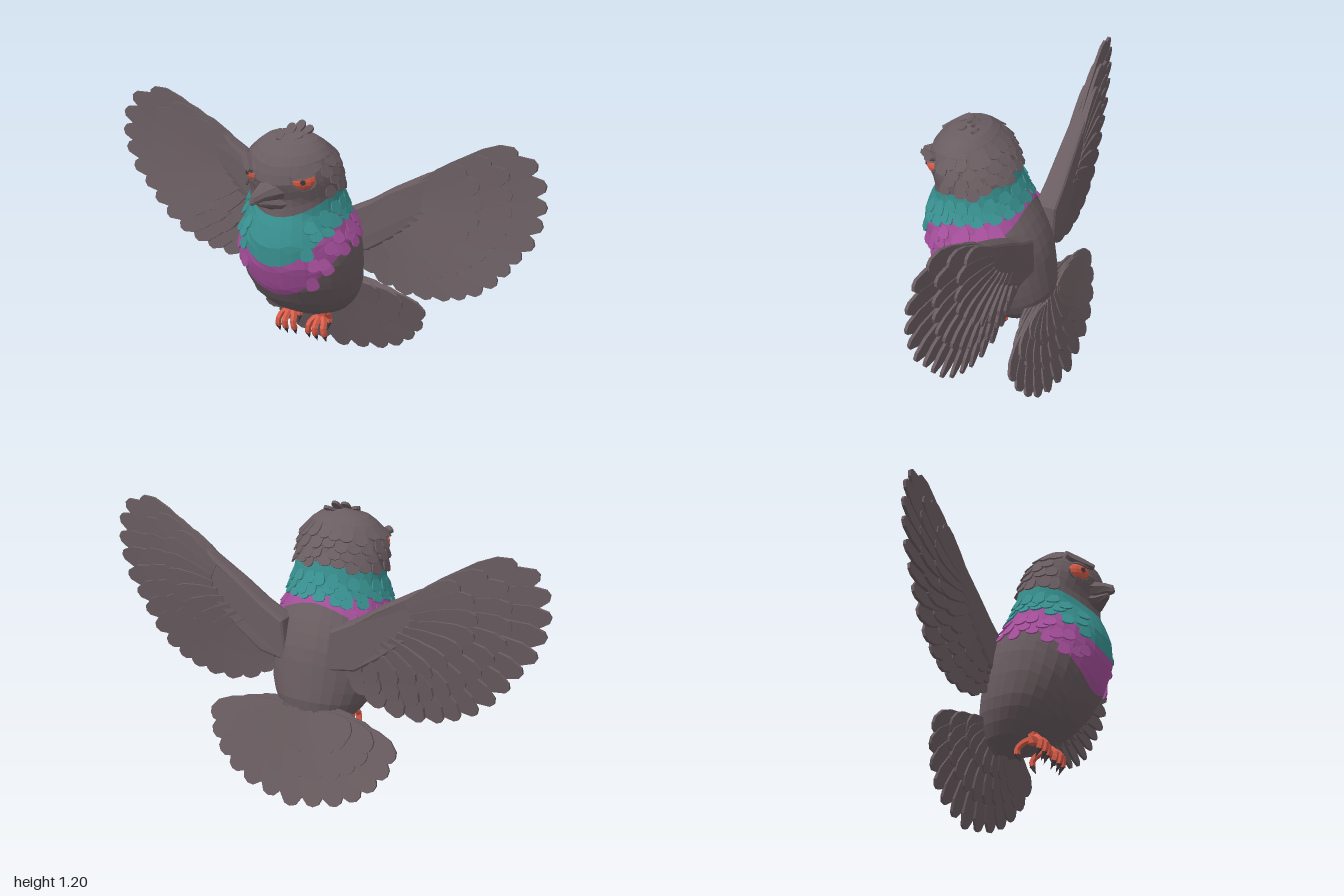
import * as THREE from 'three';
import { mergeGeometries } from 'three/addons/utils/BufferGeometryUtils.js';
import { ParametricGeometry } from 'three/addons/geometries/ParametricGeometry.js';

const material = (name, color) => Object.assign(new THREE.MeshStandardMaterial({ color, flatShading: true }), { name });
const V = (x, y, z) => new THREE.Vector3(x, y, z);
const lerp = THREE.MathUtils.lerp;

// body profile: height, front z, back z, half width
const PROFILE = [
  [0.295, -0.15, -0.2, 0.03], [0.31, -0.05, -0.22, 0.09], [0.34, 0.04, -0.235, 0.14], [0.4, 0.147, -0.255, 0.195],
  [0.46, 0.21, -0.262, 0.225], [0.55, 0.27, -0.25, 0.245], [0.65, 0.308, -0.235, 0.25], [0.75, 0.31, -0.195, 0.238],
  [0.82, 0.285, -0.15, 0.215], [0.87, 0.262, -0.115, 0.2], [0.93, 0.26, -0.1, 0.195], [1.0, 0.288, -0.085, 0.192],
  [1.06, 0.275, -0.055, 0.184], [1.1, 0.252, -0.025, 0.168], [1.14, 0.21, 0.01, 0.13], [1.165, 0.165, 0.05, 0.085],
  [1.178, 0.11, 0.1, 0.005],
];

function bodyPoint(y, a, target = V()) {
  let i = 0;
  while (i < PROFILE.length - 2 && y > PROFILE[i + 1][0]) i++;
  const p = PROFILE[i], q = PROFILE[i + 1];
  const t = THREE.MathUtils.clamp((y - p[0]) / (q[0] - p[0]), 0, 1);
  const [zf, zb, w] = [1, 2, 3].map((k) => lerp(p[k], q[k], t));
  return target.set(w * Math.sin(a), y, (zf + zb) / 2 + (zf - zb) / 2 * Math.cos(a));
}

// colour edge running from the breast, past the side, to the nape
const edge = (front, side, back) => (a) => {
  const c = Math.cos(a);
  return c > 0 ? lerp(side, front, Math.pow(c, 1.7)) : lerp(side, back, c * c);
};
const EDGES = [() => 0.295, edge(0.51, 0.73, 0.84), edge(0.66, 0.86, 0.87), edge(0.86, 0.95, 1.0), () => 1.178];

// one unit-long blade, reused for every feather
const leaf = new THREE.Shape();
leaf.moveTo(-0.22, 0);
[[0.22, 0], [0.42, 0.35], [0.5, 0.7], [0.43, 0.87], [0.2, 0.98], [0, 1], [-0.2, 0.98], [-0.43, 0.87], [-0.5, 0.7], [-0.42, 0.35]]
  .forEach(([x, y]) => leaf.lineTo(x, y));
const BLADE = new THREE.ExtrudeGeometry(leaf, { depth: 1, bevelEnabled: false }).translate(0, 0, -0.5);

function feather(root, tip, width, thick, facing) {
  const dir = tip.clone().sub(root), length = dir.length();
  dir.normalize();
  const side = dir.clone().cross(facing).normalize();
  const normal = side.clone().cross(dir);
  const m = new THREE.Matrix4().makeBasis(side, dir, normal).setPosition(root);
  return BLADE.clone().scale(width, length, thick).applyMatrix4(m);
}

// closed skin through elliptical rings [x, y, z, rx, ry] along z
function rings(list, sides) {
  return new ParametricGeometry((u, v, t) => {
    const f = v * (list.length - 1), i = Math.min(Math.floor(f), list.length - 2);
    const r = list[i].map((n, k) => lerp(n, list[i + 1][k], f - i));
    const a = u * Math.PI * 2;
    t.set(r[0] + r[3] * Math.cos(a), r[1] + r[4] * Math.sin(a), r[2]);
  }, sides, list.length - 1);
}

const hash = (n) => { const s = Math.sin(n * 127.1) * 43758.5453; return s - Math.floor(s); };
const curve = (pts) => new THREE.CatmullRomCurve3(pts.map(([x, y]) => V(x, y, 0)));

const WING_TIPS = curve([[0.855, 1.155], [0.96, 1.11], [0.995, 1.0], [0.99, 0.9], [0.955, 0.79], [0.89, 0.7],
  [0.83, 0.61], [0.75, 0.53], [0.66, 0.48], [0.57, 0.45], [0.46, 0.435], [0.34, 0.45], [0.25, 0.5]]);
const WING_ROOTS = curve([[0.44, 0.93], [0.46, 0.87], [0.4, 0.8], [0.31, 0.74], [0.19, 0.68]]);
const TAIL_TIPS = curve([[-0.44, 0.3], [-0.41, 0.21], [-0.34, 0.13], [-0.25, 0.07], [-0.13, 0.035], [0, 0.01],
  [0.13, 0.035], [0.25, 0.07], [0.34, 0.13], [0.41, 0.21], [0.44, 0.3]]);
const wingZ = (x) => -0.165 + 0.06 * Math.pow(Math.max(0, Math.abs(x) - 0.3) / 0.7, 2);
const tailZ = (y) => -0.352 + 0.31 * y;

export function createModel() {
  const model = new THREE.Group();
  const grey = material('plumage grey', 0x6a5d61), teal = material('neck teal', 0x38908f);
  const purple = material('breast purple', 0xa54f9b), red = material('coral red', 0xd95c49);
  const dark = material('claw dark', 0x433b3e);
  const add = (name, geometry, mat, parent = model) => {
    const mesh = new THREE.Mesh(geometry, mat);
    mesh.name = name;
    parent.add(mesh);
    return mesh;
  };

  // body in four colour bands, each with small ruffled feathers
  const bands = [['belly', grey, 10, 0], ['breastBand', purple, 5, 3], ['neckBand', teal, 5, 3], ['head', grey, 9, 4]];
  bands.forEach(([name, mat, rows, ruffles], b) => {
    const at = (a, v) => lerp(EDGES[b](a), EDGES[b + 1](a), v);
    add(name, new ParametricGeometry((u, v, t) => bodyPoint(at(u * Math.PI * 2, v), u * Math.PI * 2, t), 32, rows), mat);
    const flakes = [];
    for (let r = 0; r < ruffles; r++) for (let i = 0; i < 20; i++) {
      const id = b * 300 + r * 40 + i;
      const a = (i + (r % 2) / 2 + hash(id) * 0.4) / 20 * Math.PI * 2;
      if (Math.cos(a) > (b === 3 ? 0.35 : 0.85) || (b === 1 && Math.cos(a) < -0.7)) continue;
      const y = at(a, 0.2 + r / ruffles * 0.75);
      const out = V(Math.sin(a), 0.15, Math.cos(a));
      const root = bodyPoint(y, a).addScaledVector(out, -0.004);
      const tip = bodyPoint(y - 0.045 - hash(id + 9) * 0.02, a).addScaledVector(out, 0.011);
      flakes.push(feather(root, tip, 0.055, 0.006, out));
    }
    if (flakes.length) add(name + 'Ruffles', mergeGeometries(flakes), mat);
  });

  // crest tuft
  add('crest', mergeGeometries([[0.0, 1.2, 0.1], [0.03, 1.208, 0.07], [0.065, 1.185, 0.06], [-0.04, 1.178, 0.13], [0.05, 1.17, 0.12]]
    .map(([x, y, z]) => feather(V(x * 0.4 - 0.01, 1.15, z + 0.05), V(x, y, z), 0.036, 0.012, V(0.3, 1, 0.3)))), grey);

  // beak, turned slightly to one side
  add('upperBeak', rings([[0, 0.968, 0.2, 0.1, 0.05], [-0.012, 0.97, 0.28, 0.056, 0.04], [-0.03, 0.962, 0.325, 0.03, 0.026],
    [-0.045, 0.947, 0.355, 0.014, 0.02], [-0.05, 0.935, 0.365, 0, 0]], 8), grey);
  add('lowerBeak', rings([[0, 0.915, 0.2, 0.09, 0.04], [-0.01, 0.918, 0.275, 0.05, 0.026], [-0.03, 0.93, 0.325, 0.015, 0.012],
    [-0.035, 0.932, 0.335, 0, 0]], 8), grey);

  for (const s of [-1, 1]) {
    const side = s > 0 ? 'left' : 'right';

    // eye with heavy lid, lower lid and brow
    const eye = new THREE.Group();
    eye.name = side + 'Eye';
    eye.position.set(s * 0.115, 1.022, 0.228);
    eye.rotation.y = s * 0.62;
    model.add(eye);
    add('iris', new THREE.SphereGeometry(1, 12, 8).scale(0.05, 0.038, 0.03), red, eye);
    add('pupil', new THREE.CylinderGeometry(0.011, 0.011, 0.006, 8).rotateX(Math.PI / 2), dark, eye).position.set(-s * 0.006, 0, 0.029);
    const lid = new THREE.SphereGeometry(1, 12, 4, 0, Math.PI * 2, 0, Math.PI * 0.38).scale(0.06, 0.045, 0.042);
    add('upperLid', lid, grey, eye).rotation.z = s * 0.2;
    add('lowerLid', new THREE.TorusGeometry(0.05, 0.008, 5, 10, Math.PI).scale(1, 0.8, 1).rotateZ(Math.PI), grey, eye).position.z = 0.005;
    add('brow', feather(V(-s * 0.055, 0.02, 0.035), V(s * 0.065, 0.062, 0.008), 0.035, 0.02, V(0, 0.4, 1)), grey, eye);

    // wing: arm with flight feathers and two rows of coverts on each face
    const wing = new THREE.Group();
    wing.name = side + 'Wing';
    model.add(wing);
    const arm = new THREE.Shape([[0.12, 0.76], [0.22, 0.815], [0.32, 0.885], [0.47, 0.975], [0.6, 1.035], [0.62, 1.0], [0.53, 0.88],
      [0.43, 0.78], [0.32, 0.69], [0.22, 0.62], [0.1, 0.6]].map(([x, y]) => new THREE.Vector2(s * x, y)));
    const armGeo = new THREE.ExtrudeGeometry(arm, { depth: 0.04, bevelThickness: 0.02, bevelSize: 0.012, bevelSegments: 2 });
    const pos = armGeo.attributes.position;
    for (let i = 0; i < pos.count; i++) {
      const x = Math.abs(pos.getX(i)), thin = lerp(1.3, 0.7, Math.min(1, x / 0.6));
      pos.setZ(i, (pos.getZ(i) - 0.02) * thin + wingZ(x));
    }
    add('arm', armGeo, grey, wing);
    const layers = [['flightFeathers', 16, 1, 0, 0.115], ['frontCoverts', 14, 0.74, 0.016, 0.1], ['backCoverts', 14, 0.74, -0.016, 0.1],
      ['frontSmallCoverts', 11, 0.5, 0.029, 0.09], ['backSmallCoverts', 11, 0.5, -0.029, 0.09]];
    for (const [name, count, reach, dz, width] of layers) {
      const list = [];
      for (let i = 0; i < count; i++) {
        const t = i / (count - 1), root = WING_ROOTS.getPoint(t);
        const tip = root.clone().lerp(WING_TIPS.getPoint(t), reach * (reach < 1 ? 0.97 + 0.06 * hash(i + count) : 1));
        root.set(s * root.x, root.y, wingZ(root.x) + dz);
        tip.set(s * tip.x, tip.y, wingZ(tip.x) + dz * 0.8);
        list.push(feather(root, tip, width, 0.012, V(s * 0.12, 0.12, 1)));
      }
      add(name, mergeGeometries(list), grey, wing);
    }

    // foot with three front toes, one hind toe and claws
    const foot = new THREE.Group();
    foot.name = side + 'Foot';
    foot.position.x = s * 0.073;
    model.add(foot);
    add('leg', new THREE.CylinderGeometry(0.026, 0.02, 0.06, 6), red, foot).position.set(0, 0.33, 0);
    [[-0.036, 0.055], [0, 0.062], [0.036, 0.055], [0, -0.075]].forEach(([x, z]) => {
      const back = z < 0;
      const end = V(x * 1.1, back ? 0.265 : 0.258, z * (back ? 0.95 : 0.8));
      const path = new THREE.CatmullRomCurve3([V(0, 0.325, 0), V(x * 0.8, 0.315, z * 0.55), V(x, 0.29, z * 0.95), end]);
      add('toe', new THREE.TubeGeometry(path, 6, 0.014, 5), red, foot);
      const claw = add('claw', new THREE.ConeGeometry(0.013, 0.045, 5).rotateX(Math.PI), dark, foot);
      claw.position.copy(end).add(V(0, -0.016, back ? 0.008 : -0.006));
      claw.rotation.x = back ? -0.4 : 0.4;
    });
  }

  // fanned tail, layered on both faces
  const tail = new THREE.Group();
  tail.name = 'tail';
  model.add(tail);
  const tailLayers = [['tailFeathers', 13, 1, 0, 0.125], ['upperTailCoverts', 11, 0.72, -0.014, 0.12], ['underTailCoverts', 11, 0.72, 0.014, 0.12],
    ['upperSmallCoverts', 9, 0.44, -0.026, 0.11], ['underSmallCoverts', 9, 0.44, 0.026, 0.11]];
  for (const [name, count, reach, dz, width] of tailLayers) {
    const list = [];
    for (let i = 0; i < count; i++) {
      const end = TAIL_TIPS.getPoint(i / (count - 1));
      const root = V(end.x * 0.18, 0.42 - Math.abs(end.x) * 0.05, 0);
      const tip = root.clone().lerp(end, reach);
      root.z = tailZ(root.y) + dz;
      tip.z = tailZ(tip.y) + dz * 0.8;
      list.push(feather(root, tip, width, 0.012, V(0.12, -0.31, 1)));
    }
    add(name, mergeGeometries(list), grey, tail);
  }
  return model;
}
